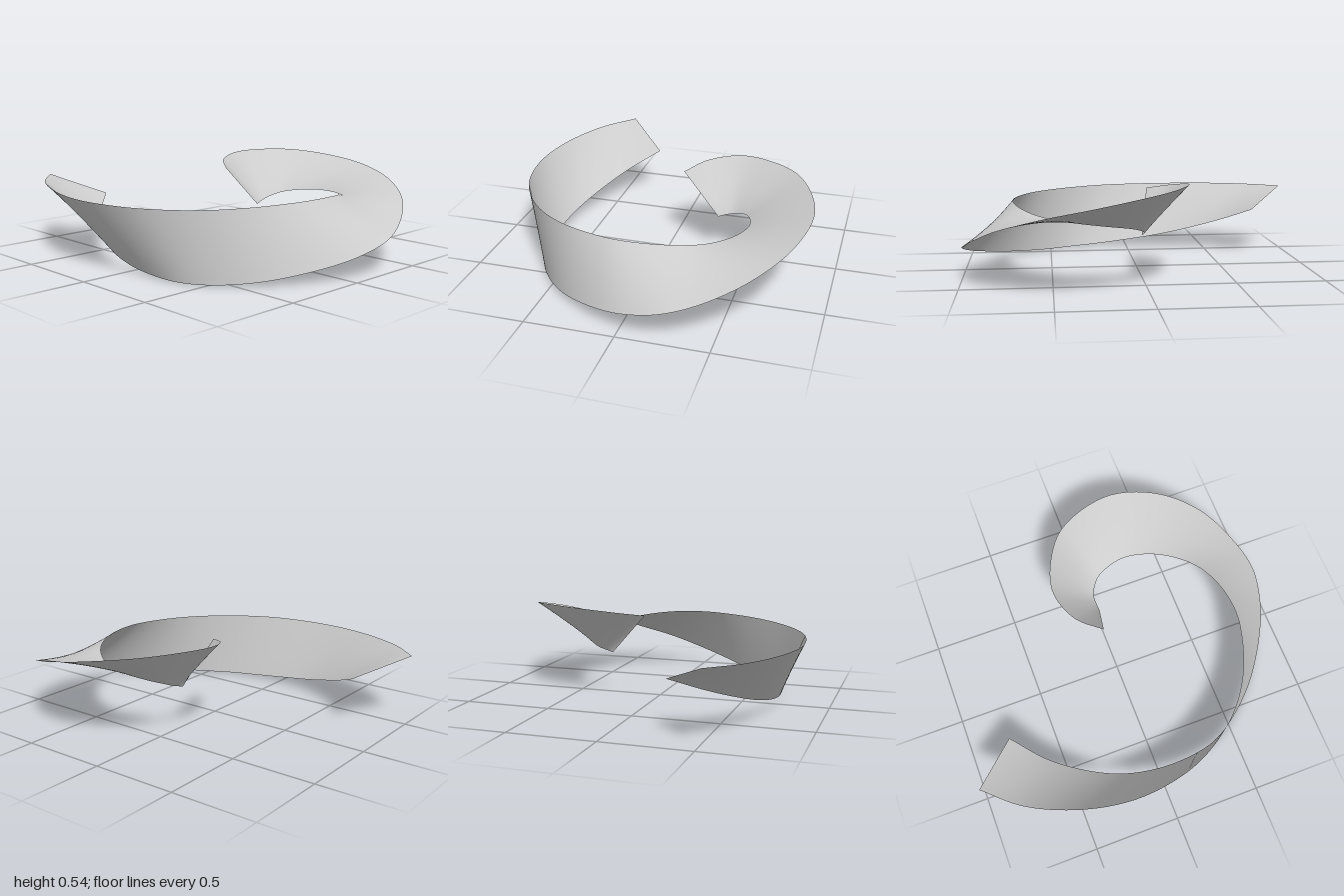
import * as THREE from 'three';

const curveFrom = (pts) =>
  new THREE.CatmullRomCurve3(pts.map((p) => new THREE.Vector3(...p)), false, 'centripetal');

// Edge that starts on the outside and spirals inward to the tip
const upperEdge = curveFrom([
  [-1, 0.405, 0.53], [-0.8, 0.4, 0.7], [-0.5, 0.395, 0.83], [-0.2, 0.39, 0.877],
  [0.1, 0.39, 0.835], [0.3, 0.39, 0.745], [0.48, 0.392, 0.6], [0.61, 0.397, 0.42],
  [0.695, 0.402, 0.2], [0.72, 0.403, 0.05], [0.7, 0.397, -0.13], [0.64, 0.382, -0.28],
  [0.55, 0.365, -0.39], [0.4, 0.348, -0.49], [0.23, 0.332, -0.53], [0.07, 0.307, -0.485],
  [0.02, 0.288, -0.435], [-0.004, 0.268, -0.385], [-0.005, 0.254, -0.34], [0, 0.24, -0.3],
]);

// Edge that dips to the ground, swings outside and climbs to the top
const lowerEdge = curveFrom([
  [-0.76, 0.285, 0.28], [-0.57, 0.187, 0.47], [-0.27, 0.085, 0.635], [-0.02, 0.036, 0.69],
  [0.22, 0.009, 0.685], [0.38, 0.001, 0.648], [0.54, 0.004, 0.555], [0.72, 0.028, 0.39],
  [0.89, 0.08, 0.14], [0.97, 0.125, -0.05], [0.998, 0.18, -0.25], [0.94, 0.242, -0.45],
  [0.8, 0.335, -0.67], [0.57, 0.418, -0.83], [0.27, 0.482, -0.884], [-0.06, 0.53, -0.75],
  [-0.2, 0.54, -0.56], [-0.25, 0.534, -0.37], [-0.185, 0.51, -0.19], [-0.05, 0.48, -0.08],
]);

// Ruled surface with straight lines joining matching points of two curves
function ruledSurface(a, b, steps, rows) {
  const positions = [];
  const index = [];
  for (let i = 0; i <= steps; i++) {
    const p = a.getPoint(i / steps);
    const q = b.getPoint(i / steps);
    for (let j = 0; j <= rows; j++) {
      const v = p.clone().lerp(q, j / rows);
      positions.push(v.x, Math.max(0, v.y), v.z);
      if (i < steps && j < rows) {
        const k = i * (rows + 1) + j;
        const n = k + rows + 1;
        index.push(k, k + 1, n, k + 1, n + 1, n);
      }
    }
  }
  const geometry = new THREE.BufferGeometry();
  geometry.setAttribute('position', new THREE.Float32BufferAttribute(positions, 3));
  geometry.setIndex(index);
  geometry.computeVertexNormals();
  return geometry;
}

export function createModel() {
  const group = new THREE.Group();
  group.name = 'spiralRibbon';

  const lightGrey = new THREE.MeshStandardMaterial({ color: 0xcccccc, side: THREE.DoubleSide });
  lightGrey.name = 'lightGrey';

  // Twisting open band
  const ribbon = new THREE.Mesh(ruledSurface(upperEdge, lowerEdge, 190, 10), lightGrey);
  ribbon.name = 'ribbon';
  group.add(ribbon);

  return group;
}
